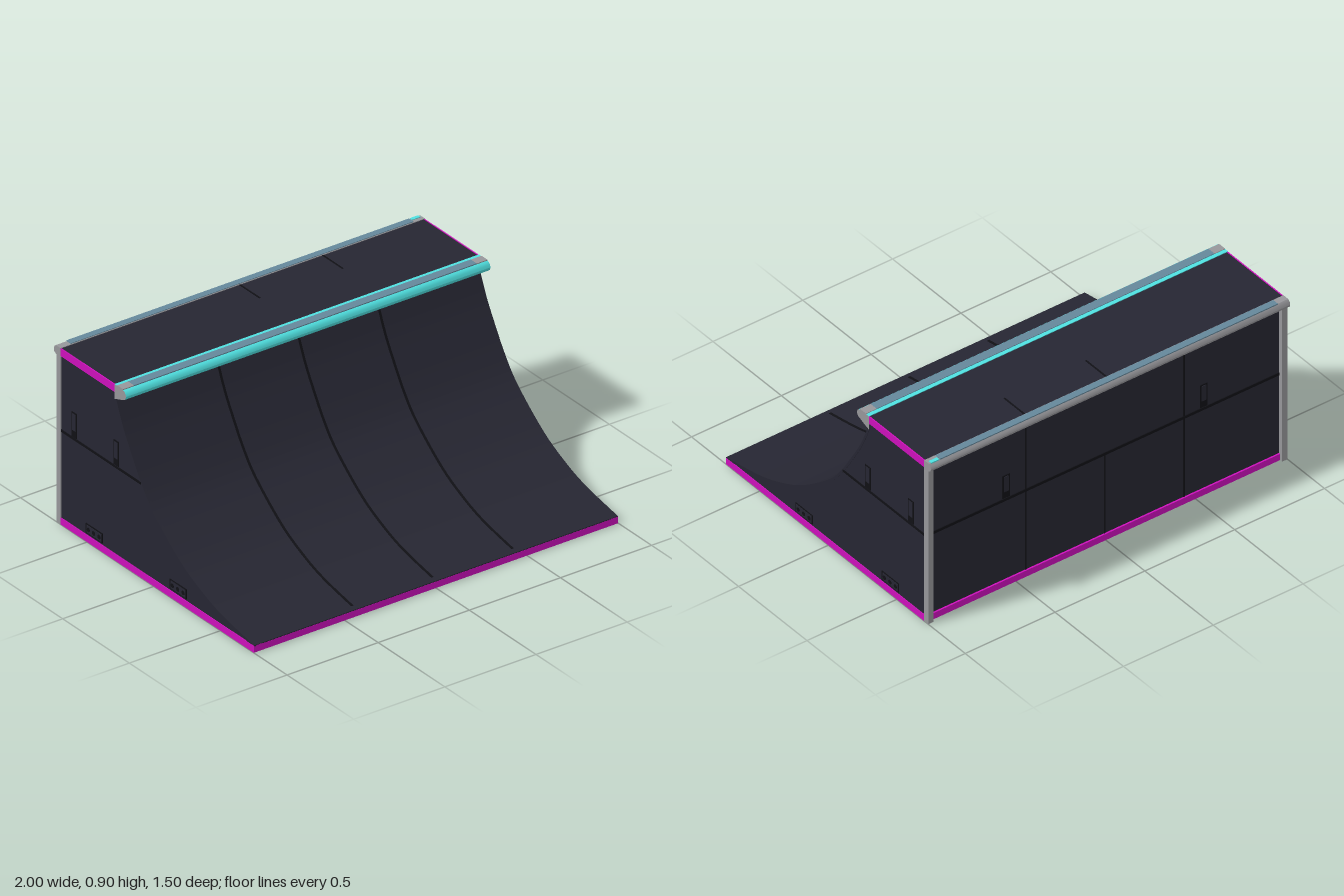
import * as THREE from 'three';
import { toCreasedNormals } from 'three/addons/utils/BufferGeometryUtils.js';

const mat = (name, color) => Object.assign(new THREE.MeshStandardMaterial({ color }), { name });

export function createModel() {
  const root = new THREE.Group();
  root.name = 'quarterPipeRamp';
  const panel = mat('darkPanel', 0x262632);
  const magenta = mat('magentaFrame', 0xcc10bb);
  const cyan = mat('cyanCoping', 0x4fe0e0);
  const steel = mat('steelBlue', 0x64879a);
  const grey = mat('greyMetal', 0x96969a);
  const black = mat('blackSeam', 0x101015);

  const add = (geo, m, name, parent = root) => {
    const mesh = new THREE.Mesh(geo, m);
    mesh.name = name;
    parent.add(mesh);
    return mesh;
  };
  // Box given by its limits on each axis
  const box = (x0, x1, y0, y1, z0, z1, m, name, parent) => {
    const mesh = add(new THREE.BoxGeometry(x1 - x0, y1 - y0, z1 - z0), m, name, parent);
    mesh.position.set((x0 + x1) / 2, (y0 + y1) / 2, (z0 + z1) / 2);
    return mesh;
  };
  // Profile of (-z, y) points swept along x
  const sweep = (pts, x0, x1, m, name, parent) => {
    const geo = new THREE.ExtrudeGeometry(new THREE.Shape(pts), { depth: x1 - x0, bevelEnabled: false });
    geo.rotateY(Math.PI / 2).translate(x0, 0, 0);
    return add(toCreasedNormals(geo, 0.6), m, name, parent);
  };
  const P = (z, y) => new THREE.Vector2(-z, y);

  // Riding curve, from the front lip up to the coping
  const curve = new THREE.SplineCurve([
    P(0.75, 0.037), P(0.51, 0.083), P(0.35, 0.137), P(0.19, 0.218), P(0, 0.365),
    P(-0.093, 0.473), P(-0.174, 0.6), P(-0.235, 0.707), P(-0.295, 0.845)
  ]);
  const inward = (t, d) => {
    const p = curve.getPointAt(t), n = curve.getTangentAt(t);
    return new THREE.Vector2(p.x + n.y * d, p.y - n.x * d);
  };
  // Closed band following the curve between two depths
  const band = (t0, t1, d0, d1, n = 36) => {
    const a = [], b = [];
    for (let i = 0; i <= n; i++) {
      const t = t0 + (t1 - t0) * i / n;
      a.push(inward(t, d0));
      b.unshift(inward(t, d1));
    }
    return a.concat(b);
  };

  // Outer panels
  sweep(band(0, 1, 0, 0.012), -0.998, 0.998, panel, 'ridingSurface');
  box(-0.995, 0.995, 0.855, 0.89, -0.705, -0.27, panel, 'deck');
  box(-0.985, 0.985, 0.03, 0.86, -0.706, -0.694, panel, 'backPanel');
  const sidePts = [...curve.getSpacedPoints(36), P(-0.295, 0.858), P(-0.7, 0.858), P(-0.7, 0.03), P(0.75, 0.03)];
  for (const s of [-1, 1]) {
    sweep(sidePts, s > 0 ? 0.984 : -0.996, s > 0 ? 0.996 : -0.984, panel, 'sidePanel');
  }

  // Base frame
  for (const s of [-1, 1]) {
    box(s * 0.98 - 0.02, s * 0.98 + 0.02, 0, 0.034, -0.7, 0.75, magenta, 'baseSideRail');
  }
  box(-0.96, 0.96, 0, 0.032, 0.72, 0.75, magenta, 'baseFrontRail');
  box(-0.97, 0.97, 0, 0.034, -0.715, -0.675, magenta, 'baseBackRail');

  // Coping along the front of the deck
  const nose = [P(-0.295, 0.893), P(-0.235, 0.893), P(-0.221, 0.888), P(-0.212, 0.878),
    P(-0.208, 0.866), P(-0.212, 0.853), P(-0.222, 0.844), P(-0.295, 0.844)];
  sweep(nose, -1, 1, [grey, cyan], 'coping');
  sweep([P(-0.222, 0.845), P(-0.295, 0.845), P(-0.295, 0.818), P(-0.25, 0.833)],
    -0.999, 0.999, [grey, black], 'copingUnderside');
  box(-0.94, 0.94, 0.89, 0.896, -0.275, -0.23, steel, 'copingTop');
  for (const s of [-1, 1]) {
    box(s * 0.97 - 0.03, s * 0.97 + 0.03, 0.89, 0.8955, -0.275, -0.23, grey, 'copingEnd');
  }

  // Back rail, corner posts and deck end plates
  sweep([P(-0.7, 0.893), P(-0.7, 0.85), P(-0.735, 0.85), P(-0.746, 0.857), P(-0.75, 0.869),
    P(-0.746, 0.883), P(-0.735, 0.893)], -1, 1, grey, 'backRail');
  box(-0.94, 0.94, 0.89, 0.896, -0.738, -0.704, steel, 'backRailTop');
  box(0.945, 0.99, 0.89, 0.896, -0.738, -0.72, cyan, 'railEndMark');
  for (const s of [-1, 1]) {
    box(s * 0.985 - 0.015, s * 0.985 + 0.015, 0, 0.852, -0.73, -0.699, grey, 'cornerPost');
    box(s * 0.997 - 0.003, s * 0.997 + 0.003, 0.853, 0.891, -0.7, -0.295, magenta, 'deckEndPlate');
  }

  // Panel seams
  const seams = new THREE.Group();
  seams.name = 'panelSeams';
  root.add(seams);
  for (const x of [-0.44, 0, 0.44]) {
    sweep(band(0.02, 0.97, -0.002, 0.001), x - 0.006, x + 0.006, black, 'ridingSeam', seams);
    box(x - 0.004, x + 0.004, 0.035, 0.47, -0.709, -0.705, black, 'backSeam', seams);
    if (x) box(x - 0.004, x + 0.004, 0.48, 0.85, -0.709, -0.705, black, 'backUpperSeam', seams);
    if (x >= 0) box(x - 0.004 - (x ? 0 : 0.015), x + 0.004 - (x ? 0 : 0.015), 0.889, 0.892, -0.7, -0.55, black, 'deckSeam', seams);
  }
  box(-0.97, 0.97, 0.468, 0.482, -0.71, -0.705, black, 'backMiddleSeam', seams);
  for (const s of [-1, 1]) {
    box(s * 0.997 - 0.002, s * 0.997 + 0.002, 0.47, 0.482, -0.7, -0.1, black, 'sideMiddleSeam', seams);
  }

  // Latch frames and bolted plates
  const latch = (name) => {
    const g = new THREE.Group();
    g.name = name;
    box(-0.02, 0.02, 0, 0.125, 0, 0.003, black, 'latchFrame', g);
    box(-0.013, 0.013, 0.035, 0.118, 0.002, 0.005, panel, 'latchFace', g);
    root.add(g);
    return g;
  };
  const boltPlate = () => {
    const g = new THREE.Group();
    g.name = 'boltPlate';
    box(-0.062, 0.062, 0, 0.05, 0, 0.003, black, 'plateEdge', g);
    box(-0.056, 0.056, 0.005, 0.045, 0.001, 0.004, panel, 'plateFace', g);
    for (const x of [-0.04, 0, 0.04]) {
      const b = add(new THREE.CylinderGeometry(0.011, 0.011, 0.003, 12), black, 'bolt', g);
      b.rotation.x = Math.PI / 2;
      b.position.set(x, 0.024, 0.004);
    }
    root.add(g);
    return g;
  };
  for (const s of [-1, 1]) {
    for (const z of [-0.285, -0.6]) {
      const l = latch('sideLatch');
      l.position.set(s * 0.996, 0.485, z);
      l.rotation.y = s * Math.PI / 2;
    }
    for (const z of [0.18, -0.45]) {
      const p = boltPlate();
      p.position.set(s * 0.996, 0.042, z);
      p.rotation.y = s * Math.PI / 2;
    }
    const l = latch('backLatch');
    l.position.set(s * 0.55, 0.485, -0.706);
    l.rotation.y = Math.PI;
  }

  // Inner trusses under the seams
  const beam = (x, z0, y0, z1, y1, w, h, parent) => {
    const dz = z1 - z0, dy = y1 - y0;
    const m = add(new THREE.BoxGeometry(w, h, Math.hypot(dz, dy)), magenta, 'brace', parent);
    m.position.set(x, (y0 + y1) / 2, (z0 + z1) / 2);
    m.rotation.x = -Math.atan2(dy, dz);
  };
  for (const x of [-0.44, 0, 0.44]) {
    const truss = new THREE.Group();
    truss.name = 'truss';
    root.add(truss);
    sweep(band(0.1, 0.98, 0.012, 0.055), x - 0.03, x + 0.03, magenta, 'curvedRib', truss);
    for (const s of [-1, 1]) {
      box(x + s * 0.03 - 0.012, x + s * 0.03 + 0.012, 0.002, 0.032, -0.69, 0.73, magenta, 'bottomChord', truss);
    }
    beam(x, -0.68, 0.02, -0.68, 0.85, 0.05, 0.03, truss);
    beam(x, -0.32, 0.02, -0.32, 0.76, 0.03, 0.03, truss);
    beam(x, -0.68, 0.04, -0.32, 0.44, 0.03, 0.03, truss);
    beam(x, -0.68, 0.82, -0.32, 0.44, 0.03, 0.03, truss);
    beam(x, -0.32, 0.44, -0.02, 0.03, 0.03, 0.03, truss);
    beam(x, -0.02, 0.03, -0.02, 0.34, 0.03, 0.03, truss);
    beam(x, -0.02, 0.34, 0.24, 0.03, 0.03, 0.03, truss);
  }

  // Cross joists behind the riding surface and below the deck
  for (const t of [0.27, 0.39, 0.51, 0.63, 0.75, 0.87]) {
    sweep(band(t, t + 0.035, 0.011, 0.05, 2), -0.984, 0.984, magenta, 'crossJoist');
  }
  for (const z of [-0.36, -0.47, -0.58]) {
    box(-0.984, 0.984, 0.82, 0.856, z - 0.018, z + 0.018, magenta, 'deckJoist');
  }
  return root;
}
